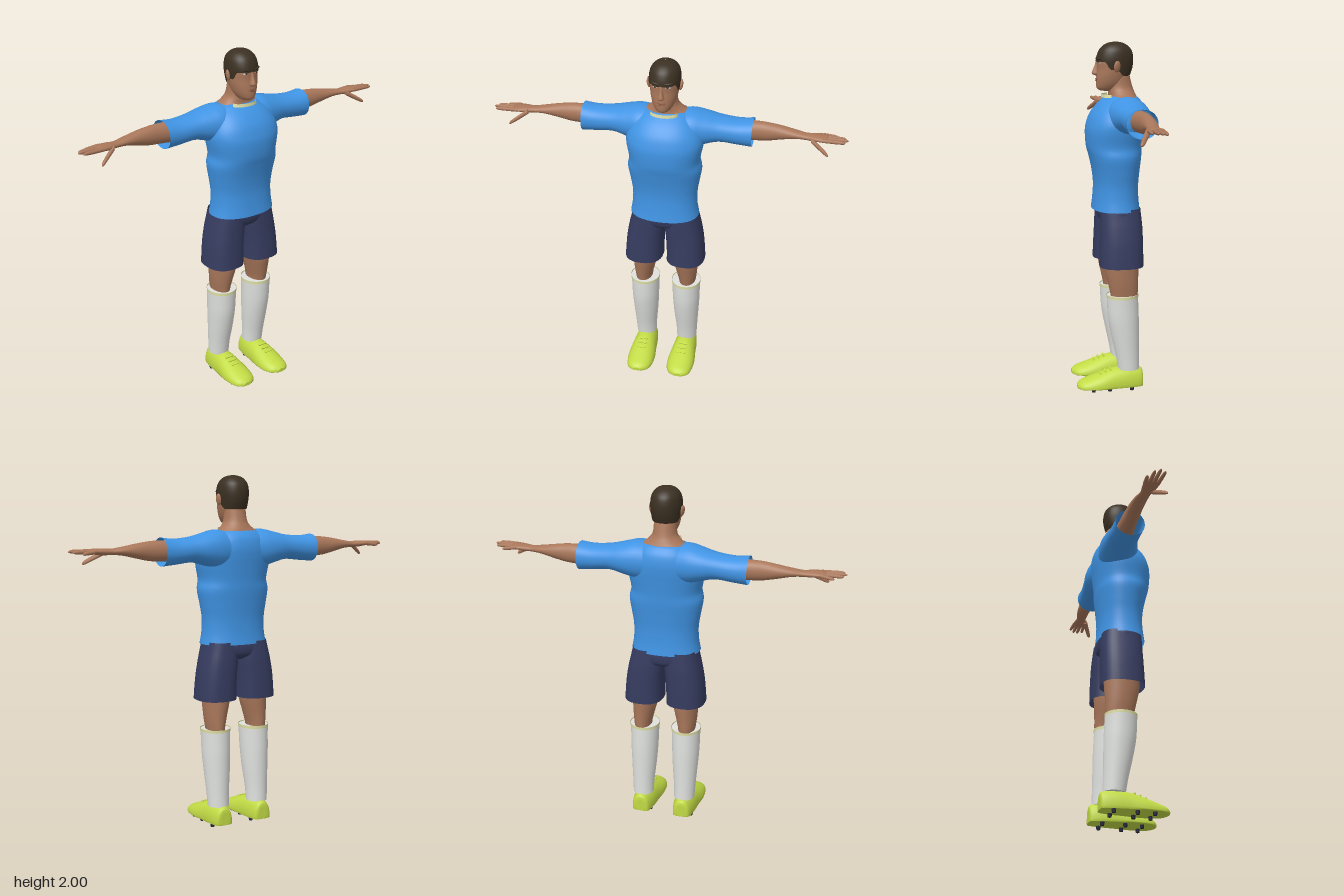
import * as THREE from 'three';

const mat = (name, color, side = THREE.FrontSide) => {
  const m = new THREE.MeshStandardMaterial({ color, side });
  m.name = name;
  return m;
};

// Rings are [t, uLo, uHi, vLo, vHi]; t runs along the axis:
// y -> u = z, v = x;  x -> u = y, v = z;  z -> u = x, v = y.
function ringAt(rings, k) {
  const last = rings.length - 1;
  const i = Math.min(Math.floor(k), last - 1), f = k - i;
  const at = (j) => rings[Math.max(0, Math.min(last, j))];
  const [a, b, c, d] = [at(i - 1), at(i), at(i + 1), at(i + 2)];
  return b.map((_, n) => 0.5 * (2 * b[n] + (c[n] - a[n]) * f
    + (2 * a[n] - 5 * b[n] + 4 * c[n] - d[n]) * f * f
    + (3 * b[n] - a[n] - 3 * c[n] + d[n]) * f * f * f));
}

// Smooth skin over cross-sections, with optional flat caps and a start rule per angle.
function loft(axis, rings, { seg = 32, sub = 5, n = 2, caps = true, start = () => 0, floor = -1 } = {}) {
  const pos = [], idx = [], last = rings.length - 1, rows = last * sub;
  const put = (t, u, v) => {
    const p = axis === 'y' ? [v, t, u] : axis === 'x' ? [t, u, v] : [u, v, t];
    p[1] = Math.max(floor, p[1]);
    pos.push(...p);
  };
  const pow = (c) => Math.sign(c) * Math.abs(c) ** (2 / n);
  const row = (fraction) => {
    for (let j = 0; j < seg; j++) {
      const a = (j / seg) * Math.PI * 2, s = start(a);
      const [t, u0, u1, v0, v1] = ringAt(rings, s + (last - s) * fraction);
      put(t, (u0 + u1) / 2 + pow(Math.cos(a)) * (u1 - u0) / 2,
        (v0 + v1) / 2 + pow(Math.sin(a)) * (v1 - v0) / 2);
    }
  };
  for (let i = 0; i <= rows; i++) row(i / rows);
  for (let i = 0; i < rows; i++) for (let j = 0; j < seg; j++) {
    const a = i * seg + j, b = i * seg + (j + 1) % seg;
    idx.push(a, b, a + seg, b, b + seg, a + seg);
  }
  if (caps) for (const end of [0, 1]) {
    const base = pos.length / 3, [t, u0, u1, v0, v1] = rings[end * last];
    row(end);
    put(t, (u0 + u1) / 2, (v0 + v1) / 2);
    for (let j = 0; j < seg; j++) {
      const a = base + j, b = base + (j + 1) % seg;
      idx.push(...(end ? [a, b, base + seg] : [b, a, base + seg]));
    }
  }
  const g = new THREE.BufferGeometry();
  g.setAttribute('position', new THREE.Float32BufferAttribute(pos, 3));
  g.setIndex(idx);
  g.computeVertexNormals();
  return g;
}

function mirrored(geometry) {
  const g = geometry.clone().scale(-1, 1, 1), i = g.index.array;
  for (let k = 0; k < i.length; k += 3) [i[k], i[k + 1]] = [i[k + 1], i[k]];
  g.computeVertexNormals();
  return g;
}

function blob([x, y, z], [sx, sy, sz], ry = 0, rz = 0) {
  return new THREE.SphereGeometry(1, 20, 14).scale(sx, sy, sz).rotateZ(rz).rotateY(ry).translate(x, y, z);
}

function finger([x0, y0, z0], [x1, y1, z1], r) {
  const rings = [[0, 1], [0.35, 0.95], [0.75, 0.85], [0.94, 0.6], [1, 0.1]].map(([f, s]) => {
    const y = y0 + (y1 - y0) * f, z = z0 + (z1 - z0) * f;
    return [x0 + (x1 - x0) * f, y - r * s, y + r * s, z - r * s, z + r * s];
  });
  return loft('x', rings, { seg: 10, sub: 2 });
}

export function createModel() {
  const model = new THREE.Group();
  model.name = 'footballPlayer';
  const skin = mat('skin', 0xa9775a), hair = mat('hair', 0x3b3022);
  const shirt = mat('shirt blue', 0x4094e4, THREE.DoubleSide);
  const navy = mat('shorts navy', 0x363c60, THREE.DoubleSide);
  const sock = mat('sock white', 0xdfe1de), lime = mat('boot lime', 0xc2db45);
  const trim = mat('pale trim', 0xdcdda2, THREE.DoubleSide);
  const stud = mat('stud dark', 0x25283a), lip = mat('lip brown', 0x84543f), eye = mat('eye white', 0xd8d0c8);

  const add = (name, geometry, material) => {
    const m = new THREE.Mesh(geometry, material);
    m.name = name;
    model.add(m);
  };
  const pair = (name, geometry, material) => {
    add('left' + name, geometry, material);
    add('right' + name, mirrored(geometry), material);
  };
  // symmetric ring for upright parts: height, back, front, half width
  const sym = (list) => list.map(([y, b, f, w]) => [y, b, f, -w, w]);

  // Shirt
  add('shirtBody', loft('y', sym([[1.055, -0.175, 0.098, 0.198], [1.12, -0.168, 0.09, 0.187], [1.2, -0.167, 0.086, 0.186],
    [1.28, -0.174, 0.095, 0.198], [1.36, -0.183, 0.113, 0.21], [1.42, -0.187, 0.128, 0.2], [1.5, -0.196, 0.132, 0.214],
    [1.55, -0.202, 0.123, 0.216], [1.6, -0.204, 0.103, 0.2], [1.65, -0.194, 0.064, 0.17], [1.685, -0.17, 0.022, 0.13],
    [1.698, -0.15, 0.002, 0.1]]), { seg: 48, n: 2.25, caps: false }), shirt);
  pair('Sleeve', loft('x', [[0.08, 1.48, 1.695, -0.19, 0.03], [0.15, 1.485, 1.7, -0.2, 0.03], [0.22, 1.505, 1.685, -0.2, 0.012],
    [0.3, 1.524, 1.666, -0.19, -0.008], [0.4, 1.515, 1.657, -0.185, -0.017], [0.48, 1.508, 1.665, -0.187, -0.017]],
  { n: 2.15, caps: false }), shirt);
  add('collar', new THREE.CylinderGeometry(0.074, 0.078, 0.018, 24, 1, true, -Math.PI / 2, Math.PI)
    .scale(1, 1, 0.6).translate(0, 1.699, -0.005), trim);

  // Shorts
  add('shortsSeat', loft('y', sym([[0.965, -0.12, 0.02, 0.08], [0.99, -0.16, 0.052, 0.16], [1.03, -0.17, 0.066, 0.192],
    [1.08, -0.165, 0.066, 0.182]]), { n: 2.4 }), navy);
  pair('ShortsLeg', loft('y', [[0.738, -0.178, 0.072, 0.012, 0.236], [0.8, -0.178, 0.07, 0.012, 0.232],
    [0.88, -0.177, 0.067, 0.008, 0.224], [0.96, -0.175, 0.065, 0.001, 0.21], [1.02, -0.17, 0.064, 0.0, 0.196],
    [1.07, -0.165, 0.062, 0.0, 0.185]], { n: 2.5, caps: false }), navy);

  // Legs, socks and boots
  pair('Thigh', loft('y', [[0.5, -0.14, 0.0, 0.08, 0.175], [0.57, -0.148, 0.01, 0.083, 0.182], [0.64, -0.15, 0.025, 0.068, 0.19],
    [0.74, -0.156, 0.045, 0.045, 0.195], [0.9, -0.16, 0.05, 0.025, 0.2]]), skin);
  pair('Sock', loft('y', [[0.12, -0.16, -0.035, 0.066, 0.188], [0.2, -0.158, -0.022, 0.063, 0.192], [0.32, -0.157, 0.004, 0.052, 0.2],
    [0.42, -0.156, 0.022, 0.046, 0.206], [0.5, -0.153, 0.028, 0.043, 0.208], [0.565, -0.15, 0.03, 0.041, 0.21]]), sock);
  pair('SockBand', loft('y', [[0.553, -0.152, 0.032, 0.039, 0.212], [0.57, -0.152, 0.032, 0.039, 0.212]],
    { sub: 1, caps: false }), trim);
  pair('Boot', loft('z', [[-0.18, 0.1, 0.15, 0.02, 0.095], [-0.168, 0.076, 0.176, -0.05, 0.122], [-0.1, 0.06, 0.19, -0.06, 0.134],
    [-0.02, 0.052, 0.197, -0.06, 0.128], [0.06, 0.043, 0.206, -0.05, 0.104], [0.13, 0.046, 0.202, -0.03, 0.079],
    [0.18, 0.066, 0.186, -0.01, 0.06], [0.205, 0.105, 0.152, 0.015, 0.042]], { floor: 0.02, n: 2.1 }), lime);
  for (const z of [0.115, 0.02, -0.11]) for (const x of [0.082, 0.172])
    pair('Stud', new THREE.CylinderGeometry(0.013, 0.011, 0.024, 8).translate(x, 0.012, z), stud);
  for (const [y, z] of [[0.121, 0.012], [0.111, 0.042], [0.099, 0.072]])
    pair('Lace', new THREE.BoxGeometry(0.05, 0.008, 0.01).rotateX(0.35).translate(0.125, y, z), lime);

  // Arms and hands
  pair('Arm', loft('x', [[0.38, 1.53, 1.65, -0.16, -0.055], [0.5, 1.537, 1.65, -0.156, -0.068], [0.56, 1.542, 1.647, -0.152, -0.07],
    [0.63, 1.557, 1.637, -0.15, -0.072], [0.71, 1.575, 1.622, -0.14, -0.07], [0.77, 1.579, 1.613, -0.127, -0.068],
    [0.82, 1.579, 1.616, -0.131, -0.054], [0.87, 1.586, 1.615, -0.134, -0.046], [0.892, 1.593, 1.61, -0.125, -0.053]]), skin);
  const fingers = [[-0.124, 0.94, 1.59, -0.134], [-0.102, 0.985, 1.598, -0.105], [-0.08, 1.0, 1.602, -0.077], [-0.057, 0.985, 1.602, -0.048]];
  for (const [z0, x, y, z] of fingers) pair('Finger', finger([0.86, 1.6, z0], [x, y, z], 0.0115), skin);
  pair('Thumb', finger([0.8, 1.592, -0.066], [0.9, 1.532, -0.014], 0.015), skin);

  // Neck and head
  add('neck', loft('y', sym([[1.65, -0.16, -0.01, 0.14], [1.685, -0.162, 0.0, 0.128], [1.71, -0.152, 0.0, 0.095],
    [1.745, -0.137, 0.004, 0.068], [1.81, -0.12, 0.0, 0.062]])), skin);
  add('head', loft('y', sym([[1.727, -0.04, 0.045, 0.025], [1.74, -0.075, 0.066, 0.043], [1.77, -0.095, 0.071, 0.061],
    [1.81, -0.11, 0.07, 0.073], [1.85, -0.125, 0.067, 0.079], [1.9, -0.132, 0.068, 0.082], [1.95, -0.12, 0.05, 0.071],
    [1.985, -0.08, 0.0, 0.036]]), { seg: 40, n: 2.1 }), skin);

  // Cropped hair: its lower edge drops from hairline to sideburn to nape
  const hairline = (a) => {
    const c = Math.cos(a);
    return c > 0.3 ? 0.95 + 0.85 * THREE.MathUtils.smoothstep(c, 0.3, 0.62)
      : 0.3 + 0.65 * THREE.MathUtils.smoothstep(c, -0.55, 0.05);
  };
  add('hair', loft('y', sym([[1.8, -0.116, 0.068, 0.078], [1.85, -0.134, 0.068, 0.083], [1.9, -0.14, 0.071, 0.087],
    [1.945, -0.133, 0.058, 0.081], [1.972, -0.114, 0.038, 0.066], [1.991, -0.085, 0.008, 0.042], [2.0, -0.044, -0.036, 0.004]]),
  { seg: 64, n: 2.1, caps: false, start: hairline }), hair);

  // Face
  add('nose', loft('y', sym([[1.812, 0.05, 0.076, 0.01], [1.822, 0.05, 0.094, 0.018], [1.838, 0.05, 0.092, 0.014],
    [1.865, 0.05, 0.081, 0.009], [1.895, 0.05, 0.071, 0.009], [1.91, 0.05, 0.066, 0.008]]), { seg: 16, sub: 3 }), skin);
  pair('Ear', blob([0.087, 1.865, -0.035], [0.011, 0.032, 0.02], 0.35, -0.15), skin);
  pair('Eyebrow', blob([0.036, 1.905, 0.06], [0.026, 0.006, 0.008], 0.28, 0.12), hair);
  pair('Eye', blob([0.035, 1.883, 0.058], [0.016, 0.0055, 0.006], 0.28), eye);
  pair('Pupil', blob([0.034, 1.884, 0.062], [0.006, 0.0055, 0.004], 0.28), hair);
  pair('UpperLid', blob([0.035, 1.89, 0.06], [0.019, 0.0035, 0.006], 0.28), hair);
  add('upperLip', blob([0, 1.793, 0.068], [0.025, 0.004, 0.007]), lip);
  add('lowerLip', blob([0, 1.784, 0.068], [0.02, 0.005, 0.007]), lip);
  return model;
}
